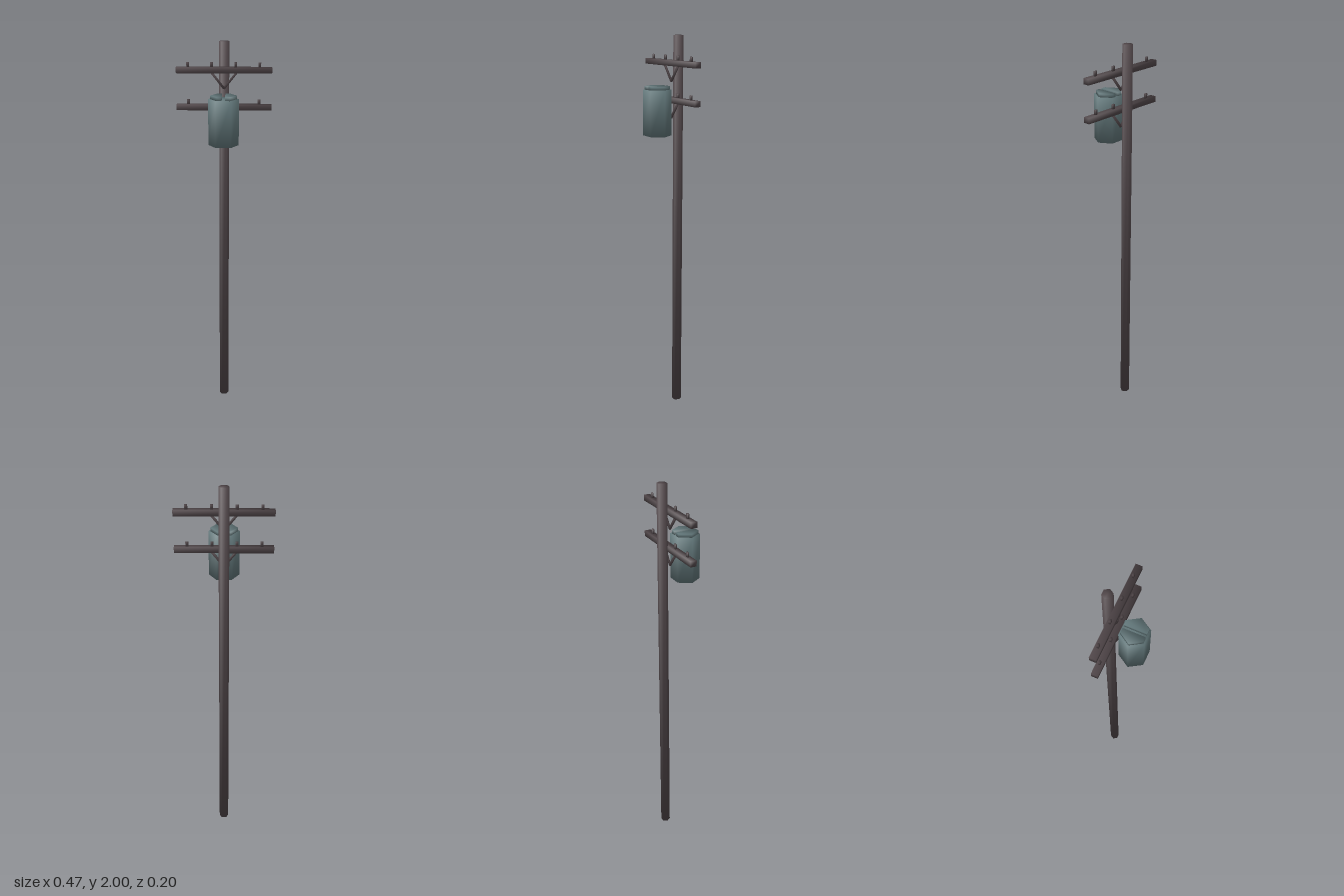
import * as THREE from 'three';

// Soft shading: blend each corner's normal across the faces that meet there
function soften(geometry) {
  geometry.center();
  geometry.computeBoundingBox();
  const half = geometry.boundingBox.max;
  const pos = geometry.attributes.position;
  const n = new THREE.Vector3();
  for (let i = 0; i < pos.count; i++) {
    n.fromBufferAttribute(pos, i).divide(half).normalize();
    geometry.attributes.normal.setXYZ(i, n.x, n.y, n.z);
  }
  return geometry;
}

export function createModel() {
  const model = new THREE.Group();
  model.name = 'utilityPole';
  const wood = new THREE.MeshStandardMaterial({ color: 0x51474a });
  wood.name = 'dark wood';
  const metal = new THREE.MeshStandardMaterial({ color: 0x62777a });
  metal.name = 'grey green metal';

  function add(parent, name, geometry, material, x, y, z) {
    const mesh = new THREE.Mesh(soften(geometry), material);
    mesh.name = name;
    mesh.position.set(x, y, z);
    parent.add(mesh);
    return mesh;
  }
  const box = (w, h, d) => new THREE.BoxGeometry(w, h, d);
  const hexPrism = (r, h) => new THREE.CylinderGeometry(r, r, h, 6).rotateY(Math.PI / 6);

  // Hexagonal post
  add(model, 'pole', hexPrism(0.025, 2), wood, 0, 1, -0.081);

  // Two crossarms, each with four pegs and a V brace
  for (const y of [1.866, 1.685]) {
    const arm = new THREE.Group();
    arm.name = 'crossarm';
    arm.position.set(0, y, -0.044);
    model.add(arm);
    add(arm, 'beam', box(0.47, 0.028, 0.032), wood, 0, 0, 0);
    for (const x of [-0.177, -0.06, 0.057, 0.174]) {
      add(arm, 'peg', box(0.014, 0.024, 0.008), wood, x, 0.025, 0);
    }
    for (const side of [-1, 1]) {
      const brace = add(arm, 'brace', box(0.011, 0.1, 0.007), wood, side * 0.031, -0.05, 0.003);
      brace.rotation.z = -side * Math.atan2(0.06, 0.075);
    }
  }

  // Transformer can with a lid split into two halves
  const transformer = new THREE.Group();
  transformer.name = 'transformer';
  transformer.position.set(0, 0, 0.041);
  model.add(transformer);
  add(transformer, 'can', hexPrism(0.075, 0.227).scale(1, 1, 0.94), metal, 0, 1.6265, 0);
  for (const side of [-1, 1]) {
    const outline = new THREE.Shape([
      [0.008, -0.054], [0.032, -0.054], [0.066, 0], [0.032, 0.054], [0.008, 0.054],
    ].map(([x, z]) => new THREE.Vector2(side * x, z)));
    const lid = new THREE.ExtrudeGeometry(outline, { depth: 0.018, bevelEnabled: false });
    add(transformer, 'lidHalf', lid.rotateX(-Math.PI / 2), metal, side * 0.037, 1.748, 0);
  }
  return model;
}
